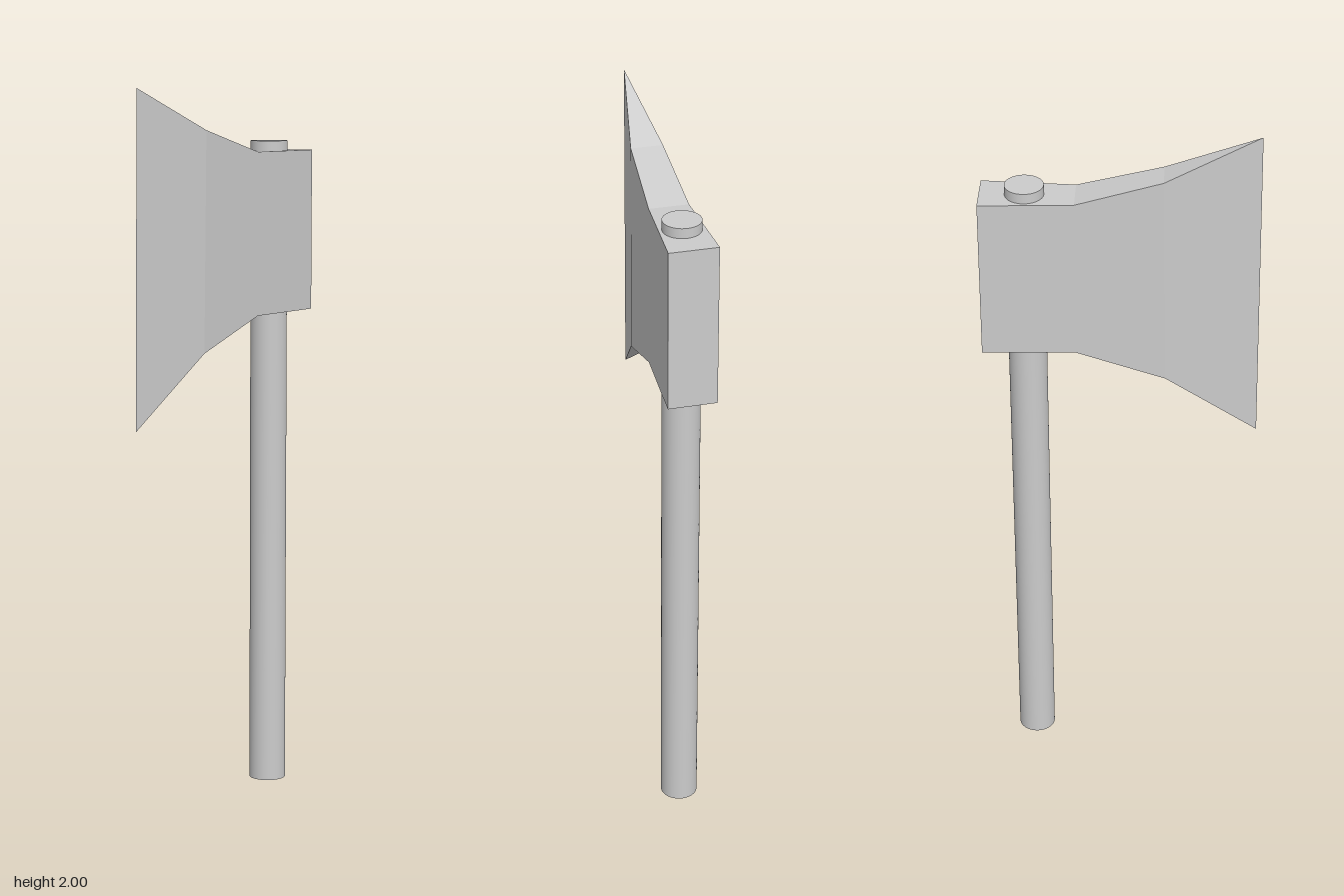
import * as THREE from 'three';

const material = new THREE.MeshStandardMaterial({ color: 0xcccccc });
const flatMaterial = new THREE.MeshStandardMaterial({ color: 0xcccccc, flatShading: true });

// Cross-sections of the head from poll to cutting edge:
// half width, bottom y, bottom z, top y, top z
const sections = [
  [0.067, 1.368, -0.372, 1.822, -0.372],
  [0.054, 1.366, -0.12, 1.822, -0.12],
  [0.044, 1.281, 0.122, 1.886, 0.112],
  [0, 1.09, 0.374, 2.0, 0.365],
];

function axeHeadGeometry() {
  const rings = sections.map(([w, y0, z0, y1, z1]) => [
    new THREE.Vector3(-w, y0, z0),
    new THREE.Vector3(w, y0, z0),
    new THREE.Vector3(w, y1, z1),
    new THREE.Vector3(-w, y1, z1),
  ]);
  const points = [];
  const quad = (a, b, c, d) => {
    points.push(a, b, c);
    if (!c.equals(d)) points.push(a, c, d);
  };
  // Poll face at the back
  const [p, q, r, s] = rings[0];
  quad(p, s, r, q);
  // Bottom, cheeks and top, section by section
  for (let i = 0; i < rings.length - 1; i++) {
    for (let k = 0; k < 4; k++) {
      const n = (k + 1) % 4;
      quad(rings[i][k], rings[i][n], rings[i + 1][n], rings[i + 1][k]);
    }
  }
  const geometry = new THREE.BufferGeometry().setFromPoints(points);
  geometry.computeVertexNormals();
  return geometry;
}

export function createModel() {
  const group = new THREE.Group();
  group.name = 'axe';

  // Round shaft passing through the head
  const handle = new THREE.Mesh(new THREE.CylinderGeometry(0.052, 0.052, 1.85, 48), material);
  handle.name = 'handle';
  handle.position.set(0, 0.925, -0.253);

  // Flared wedge head
  const head = new THREE.Mesh(axeHeadGeometry(), flatMaterial);
  head.name = 'axeHead';

  group.add(handle, head);
  return group;
}
